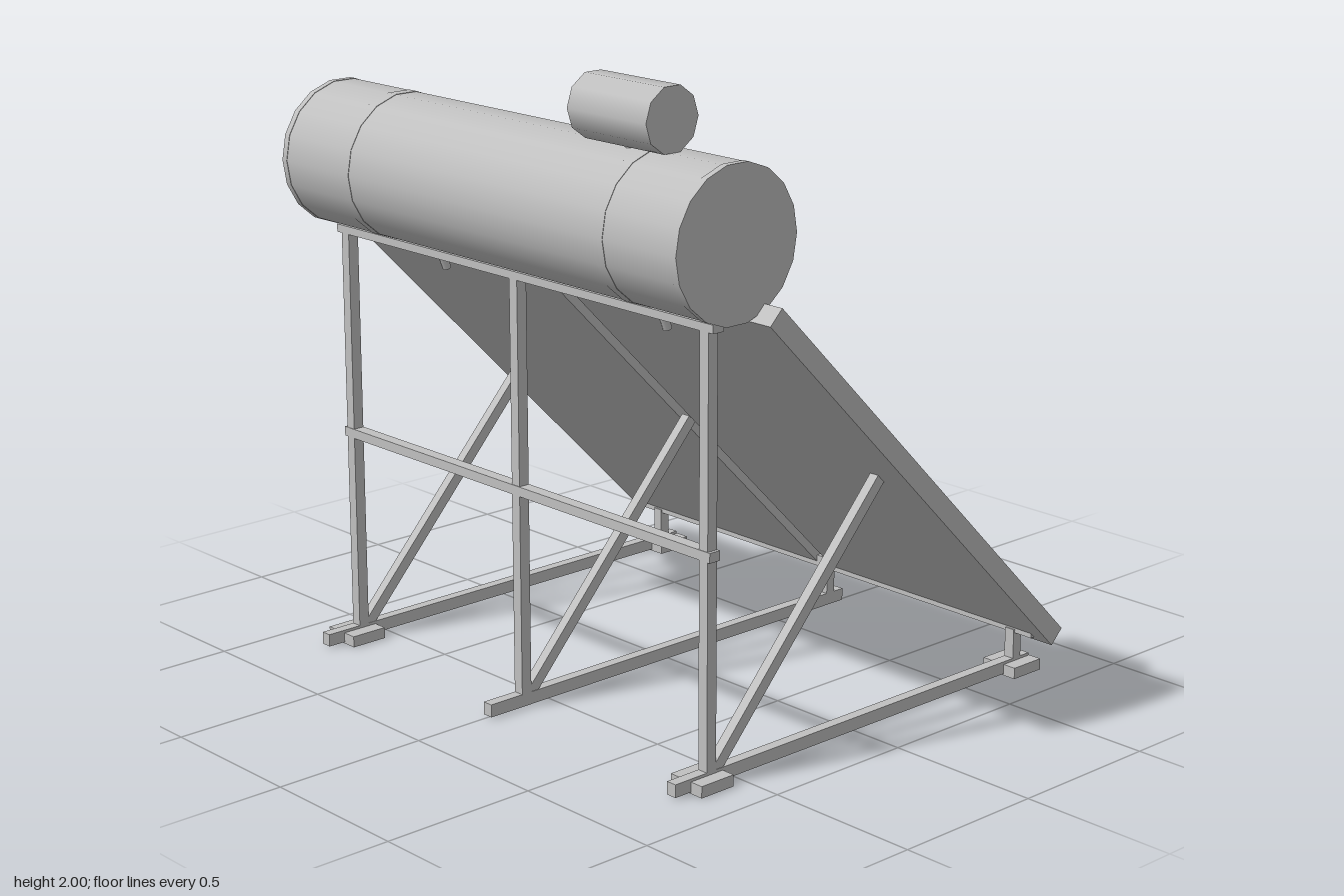
import * as THREE from 'three';

const metal = new THREE.MeshStandardMaterial({ color: 0xc0c0c0 });
metal.name = 'grey metal';

function add(parent, name, geometry, x = 0, y = 0, z = 0) {
  const mesh = new THREE.Mesh(geometry, metal);
  mesh.name = name;
  mesh.position.set(x, y, z);
  parent.add(mesh);
  return mesh;
}

// Box given by its limits on each axis
function block(parent, name, [x0, x1], [y0, y1], [z0, z1]) {
  return add(parent, name, new THREE.BoxGeometry(x1 - x0, y1 - y0, z1 - z0),
    (x0 + x1) / 2, (y0 + y1) / 2, (z0 + z1) / 2);
}

// Cylinder lying along x
function drum(parent, name, radius, length, sides, x, y, z) {
  const geometry = new THREE.CylinderGeometry(radius, radius, length, sides).rotateZ(Math.PI / 2);
  return add(parent, name, geometry, x, y, z);
}

// Places a mesh whose length runs along its own y between two points
function span(mesh, a, b) {
  mesh.position.copy(a).add(b).multiplyScalar(0.5);
  mesh.quaternion.setFromUnitVectors(new THREE.Vector3(0, 1, 0), b.clone().sub(a).normalize());
}

function addTank(group) {
  const y = 1.587, z = 0.56;
  drum(group, 'tank', 0.227, 1.76, 18, 0, y, z);
  for (const side of [-1, 1]) {
    drum(group, 'tankEndRim', 0.2285, 0.022, 18, side * 0.875, y, z);
    drum(group, 'tankStrap', 0.2285, 0.038, 18, side * 0.572, y, z);

    // Pipe leading from the tank down to the collector
    const a = new THREE.Vector3(side * 0.5, 1.4, 0.515);
    const b = new THREE.Vector3(side * 0.5, 1.26, 0.46);
    const pipe = add(group, 'connectingPipe', new THREE.CylinderGeometry(0.014, 0.014, a.distanceTo(b), 8));
    span(pipe, a, b);
  }
  // Small expansion tank on a short neck
  drum(group, 'expansionTank', 0.098, 0.325, 10, 0.5025, 1.904, 0.595);
  add(group, 'expansionTankNeck', new THREE.CylinderGeometry(0.022, 0.022, 0.06, 8), 0.5025, 1.81, 0.595);
}

function addCollector(group, side) {
  const panel = new THREE.Group();
  panel.name = 'collectorPanel';
  panel.position.set(side * 0.495, 0.76, -0.145);
  panel.rotation.x = -Math.PI / 4;
  group.add(panel);

  add(panel, 'panelCase', new THREE.BoxGeometry(0.92, 0.064, 1.76));
  add(panel, 'panelCover', new THREE.BoxGeometry(0.836, 0.012, 1.66), 0, 0.038, -0.008);
  // Raised riser tubes on the cover
  for (let i = -2; i <= 2; i++) {
    const tube = new THREE.CylinderGeometry(0.016, 0.016, 1.62, 8).rotateX(Math.PI / 2);
    add(panel, 'riserTube', tube, i * 0.158 + side * 0.005, 0.043, -0.01);
  }
}

function addFrame(group, x) {
  const w = [x - 0.0175, x + 0.0175];
  block(group, 'baseRail', w, [0.005, 0.045], [-0.785, 0.735]);
  block(group, 'frontPost', w, [0.045, 1.36], [0.577, 0.613]);
  block(group, 'rearPost', w, [0.045, 0.14], [-0.745, -0.71]);

  // Diagonal brace from the foot of the front post to the panel
  const a = new THREE.Vector3(x, 0.035, 0.58);
  const b = new THREE.Vector3(x, 0.775, -0.095);
  const brace = add(group, 'diagonalBrace', new THREE.BoxGeometry(0.032, a.distanceTo(b), 0.036));
  span(brace, a, b);
}

export function createModel() {
  const group = new THREE.Group();
  group.name = 'solarWaterHeater';

  addTank(group);
  for (const side of [-1, 1]) {
    addCollector(group, side);
    // Feet under the outer frames
    const w = [side * 0.81 - 0.064, side * 0.81 + 0.064];
    block(group, 'frontFoot', w, [0, 0.036], [0.55, 0.675]);
    block(group, 'rearFoot', w, [0, 0.036], [-0.79, -0.667]);
  }
  for (const x of [-0.812, 0, 0.812]) addFrame(group, x);

  // Cross rails joining the frames
  block(group, 'topRail', [-0.85, 0.85], [1.34, 1.365], [0.575, 0.615]);
  block(group, 'middleRail', [-0.84, 0.84], [0.677, 0.707], [0.575, 0.615]);
  block(group, 'lowerRail', [-0.895, 0.895], [0.129, 0.166], [-0.758, -0.715]);
  return group;
}
